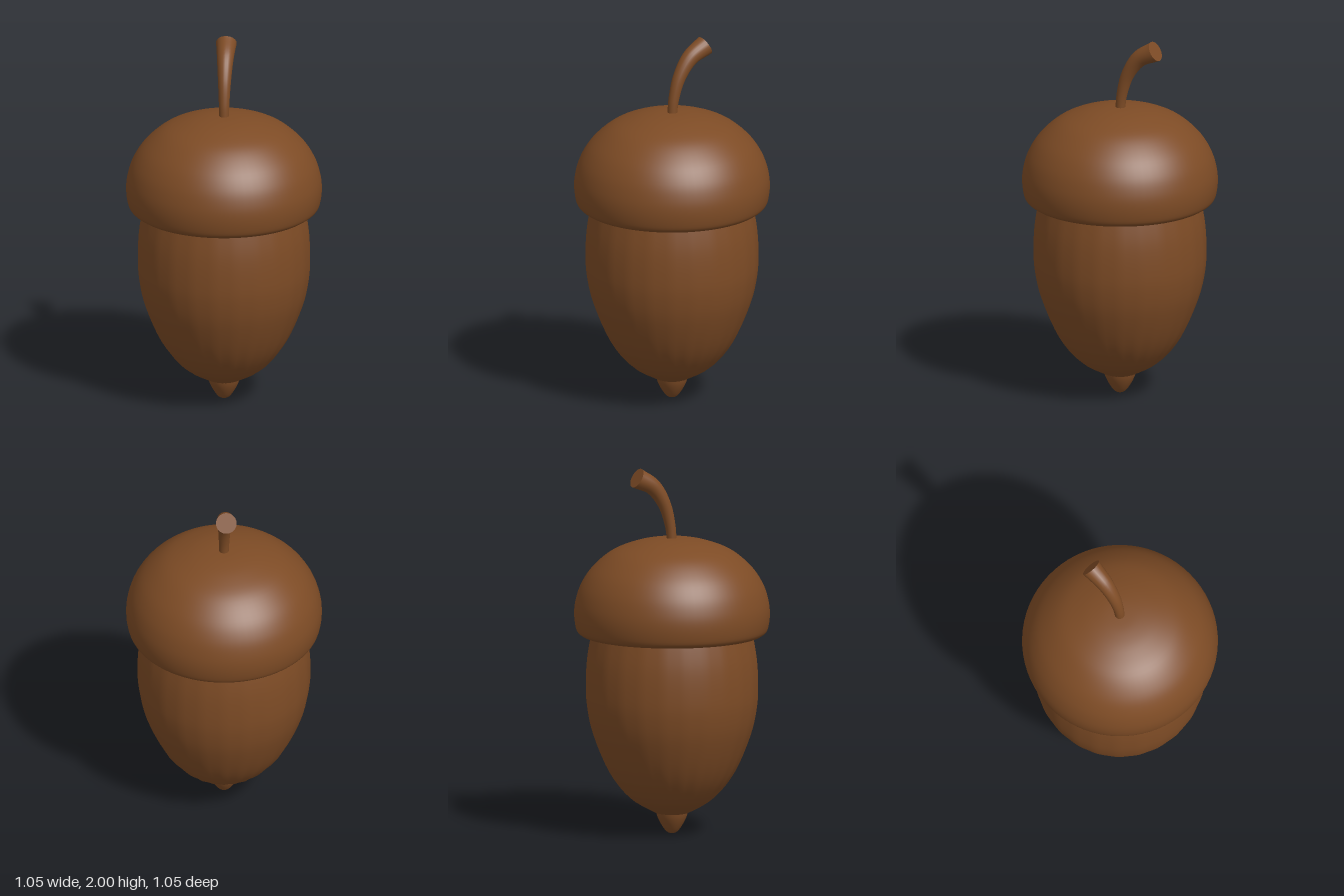
import * as THREE from 'three';

const brown = new THREE.MeshStandardMaterial({ color: 0x7d4b25 });
brown.name = 'acorn brown';

// Smooth profile, given as [radius, height] from bottom to top, spun around y
function spin(name, profile, sides, samples) {
  const curve = new THREE.SplineCurve(profile.map(([r, y]) => new THREE.Vector2(r, y)));
  const points = curve.getPoints(samples);
  points.forEach(p => { p.x = Math.max(p.x, 0); });
  const mesh = new THREE.Mesh(new THREE.LatheGeometry(points, sides), brown);
  mesh.name = name;
  return mesh;
}

function makeNut() {
  const nut = spin('nut', [
    [0.06, 0.105], [0.11, 0.125], [0.23, 0.20], [0.34, 0.34], [0.425, 0.54],
    [0.459, 0.69], [0.466, 0.82], [0.458, 0.96], [0.435, 1.09], [0.42, 1.14],
  ], 96, 36);
  // Shallow flutes, deepest near the point
  const pos = nut.geometry.attributes.position;
  for (let i = 0; i < pos.count; i++) {
    const x = pos.getX(i), y = pos.getY(i), z = pos.getZ(i);
    const depth = 0.006 + 0.03 * Math.max(0, 1 - y / 0.45);
    const k = 1 - depth * (0.5 - 0.5 * Math.cos(24 * Math.atan2(z, x)));
    pos.setXYZ(i, x * k, y, z * k);
  }
  // Average normals across the seam by taking the first column for the last
  nut.geometry.computeVertexNormals();
  const nor = nut.geometry.attributes.normal, ring = 37, last = pos.count - ring;
  for (let j = 0; j < ring; j++) {
    const n = new THREE.Vector3().fromBufferAttribute(nor, j)
      .add(new THREE.Vector3().fromBufferAttribute(nor, last + j)).normalize();
    nor.setXYZ(j, n.x, n.y, n.z);
    nor.setXYZ(last + j, n.x, n.y, n.z);
  }
  return nut;
}

// Stem: a tube that curves away and widens to a flat cut end
function makeStem() {
  const stem = new THREE.Group();
  stem.name = 'stem';
  const path = new THREE.CatmullRomCurve3([
    [0, 1.58], [-0.008, 1.68], [-0.035, 1.8], [-0.087, 1.9], [-0.16, 1.955],
  ].map(([x, y]) => new THREE.Vector3(x, y, x * 0.88)));
  const steps = 24, sides = 20;
  const tube = new THREE.TubeGeometry(path, steps, 1, sides);
  const pos = tube.attributes.position, v = new THREE.Vector3();
  for (let i = 0; i <= steps; i++) {
    const t = i / steps, centre = path.getPointAt(t);
    const radius = 0.026 + 0.03 * Math.pow(t, 1.6);
    for (let j = 0; j <= sides; j++) {
      const k = i * (sides + 1) + j;
      v.fromBufferAttribute(pos, k).sub(centre).multiplyScalar(radius).add(centre);
      pos.setXYZ(k, v.x, v.y, v.z);
    }
  }
  const stalk = new THREE.Mesh(tube, brown);
  stalk.name = 'stalk';
  const cut = new THREE.Mesh(new THREE.CircleGeometry(0.056, 32), brown);
  cut.name = 'stemEnd';
  cut.position.copy(path.getPointAt(1));
  cut.quaternion.setFromUnitVectors(new THREE.Vector3(0, 0, 1), path.getTangentAt(1));
  stem.add(stalk, cut);
  return stem;
}

export function createModel() {
  const acorn = new THREE.Group();
  acorn.name = 'acorn';

  const tip = spin('tip', [
    [0, 0], [0.03, 0.012], [0.058, 0.05], [0.078, 0.09], [0.088, 0.125],
  ], 32, 16);

  // Domed cup with a rounded rim and a recessed underside
  const cup = spin('cup', [
    [0.49, 1.09], [0.515, 1.115], [0.527, 1.19], [0.52, 1.27], [0.49, 1.36],
    [0.43, 1.45], [0.33, 1.535], [0.21, 1.585], [0.1, 1.608], [0, 1.613],
  ], 72, 45);
  const rim = new THREE.Mesh(new THREE.LatheGeometry([
    new THREE.Vector2(0.425, 1.13), new THREE.Vector2(0.455, 1.125),
    new THREE.Vector2(0.465, 1.09), new THREE.Vector2(0.49, 1.09),
  ], 72), brown);
  rim.name = 'cupRim';

  acorn.add(makeNut(), tip, cup, rim, makeStem());
  return acorn;
}
